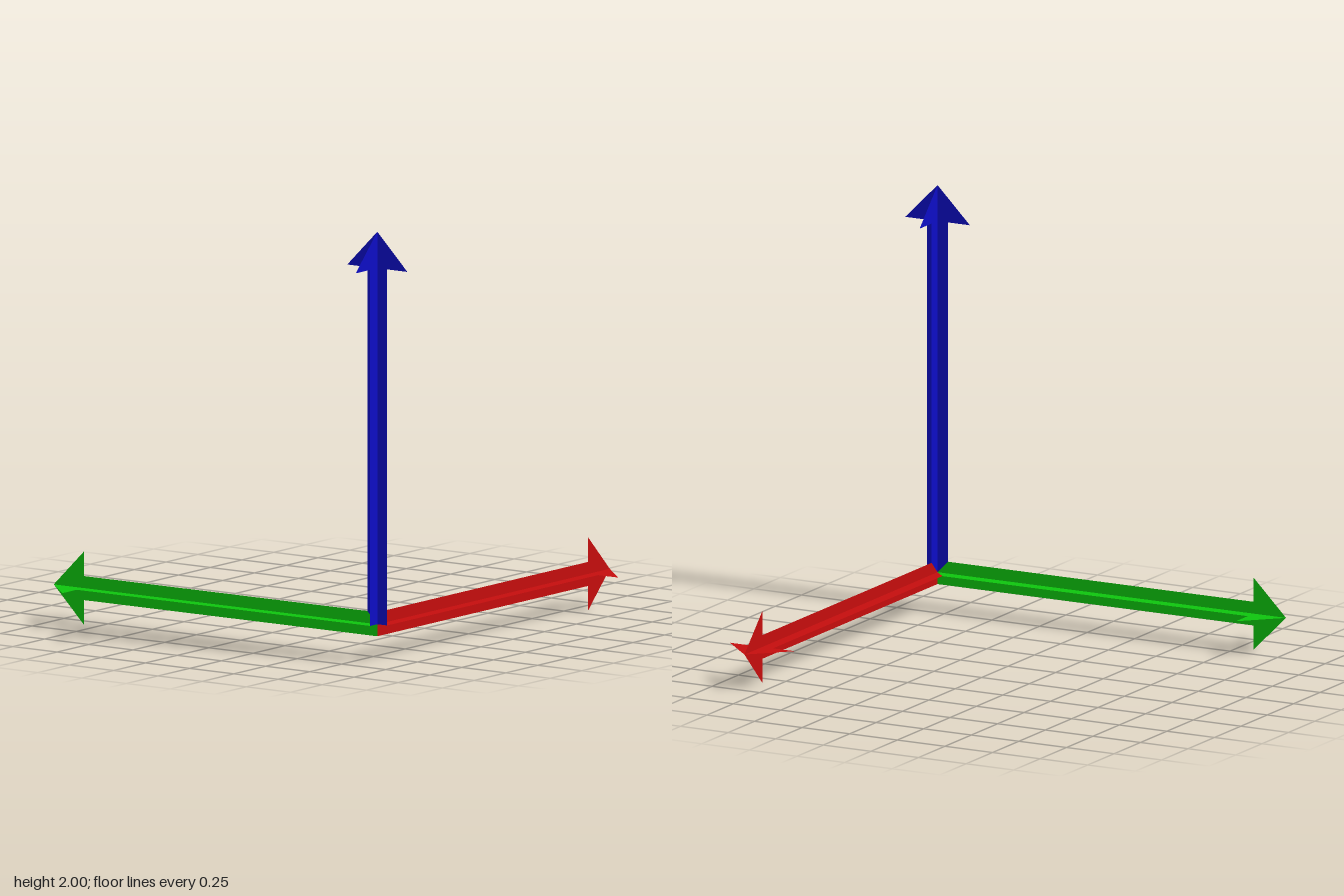
import * as THREE from 'three';

const LENGTH = 1.83, HEAD_START = 1.66, HEAD_HALF = 0.17, SHAFT_HALF = 0.056;

// Flat arrow along +x; its start is mitred on the +y side to meet its neighbour
function arrowShape() {
  return new THREE.Shape([
    [0, 0], [0, -SHAFT_HALF], [HEAD_START, -SHAFT_HALF], [HEAD_START, -HEAD_HALF],
    [LENGTH, 0],
    [HEAD_START, HEAD_HALF], [HEAD_START, SHAFT_HALF], [SHAFT_HALF, SHAFT_HALF],
  ].map(([x, y]) => new THREE.Vector2(x, y)));
}

function material(name, color) {
  const m = new THREE.MeshStandardMaterial({ color, side: THREE.DoubleSide });
  m.name = name;
  return m;
}

export function createModel() {
  const model = new THREE.Group();
  model.name = 'axisArrows';

  const arrows = [
    { name: 'redArrow', dir: new THREE.Vector3(1, 0, 0), mat: material('red', 0xc40d0d) },
    { name: 'greenArrow', dir: new THREE.Vector3(0, 0, -1), mat: material('green', 0x0dc40d) },
    { name: 'blueArrow', dir: new THREE.Vector3(0, 1, 0), mat: material('blue', 0x0d0dc4) },
  ];

  // Each arrow is two crossed plates, one in the plane shared with each other arrow
  for (const arrow of arrows) {
    const group = new THREE.Group();
    group.name = arrow.name;
    for (const other of arrows) {
      if (other === arrow) continue;
      const normal = new THREE.Vector3().crossVectors(arrow.dir, other.dir);
      const geometry = new THREE.ShapeGeometry(arrowShape());
      geometry.applyMatrix4(new THREE.Matrix4().makeBasis(arrow.dir, other.dir, normal));
      const plate = new THREE.Mesh(geometry, arrow.mat);
      plate.name = arrow.name + 'Plate';
      group.add(plate);
    }
    group.position.set(-0.83, HEAD_HALF, 0.83);
    model.add(group);
  }
  return model;
}
